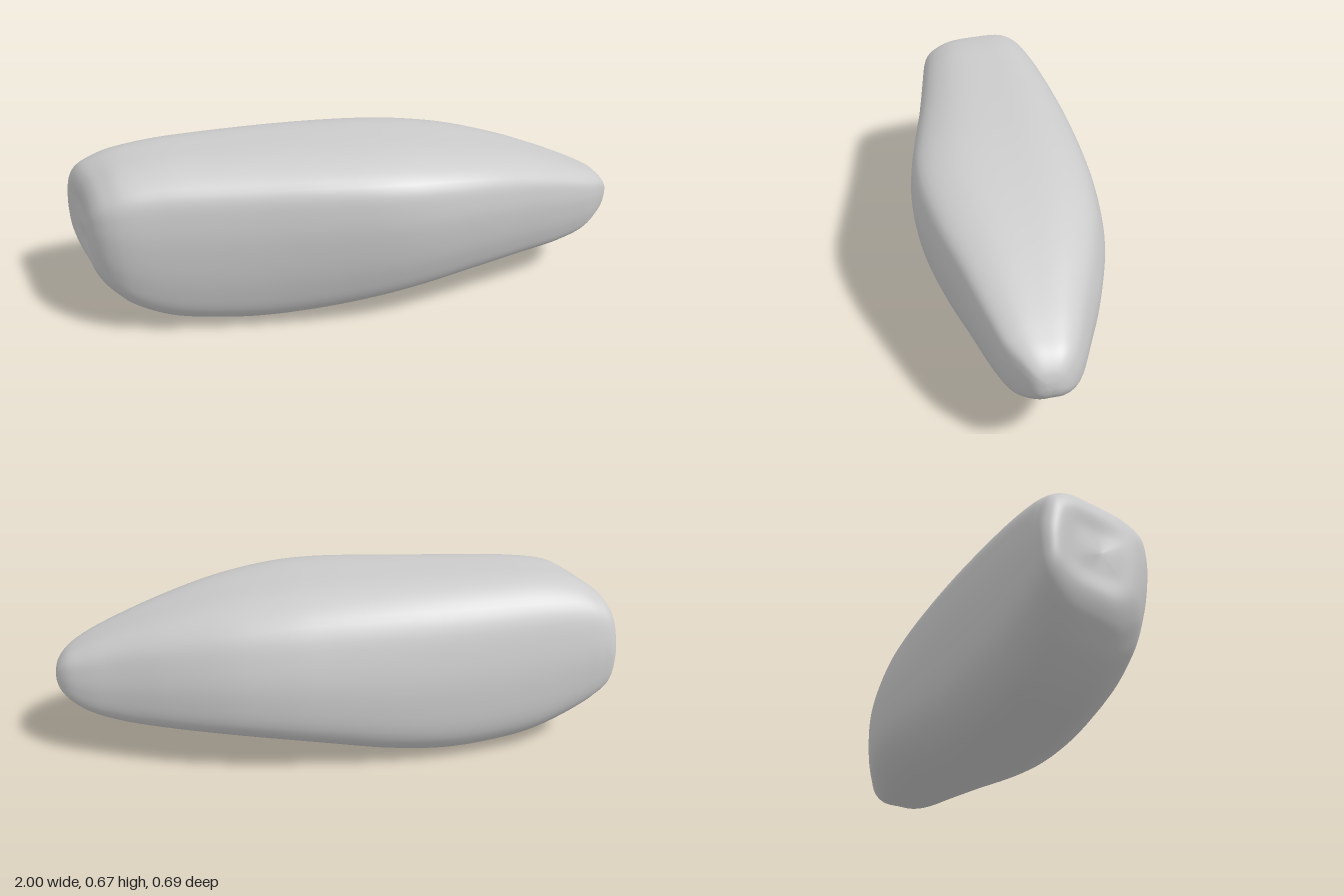
import * as THREE from 'three';
import { mergeVertices } from 'three/addons/utils/BufferGeometryUtils.js';

// Stations along the length: x, top y, bottom y, back z, front z, end slant
const STATIONS = [
  [-0.955, 0.39, 0.39, -0.08, -0.08, 0],
  [-0.962, 0.46, 0.32, -0.18, 0.0, 0.17],
  [-0.967, 0.53, 0.25, -0.26, 0.08, 0.2],
  [-0.942, 0.58, 0.195, -0.292, 0.125, 0.2],
  [-0.90, 0.61, 0.15, -0.304, 0.151, 0.17],
  [-0.84, 0.635, 0.103, -0.313, 0.167, 0.1],
  [-0.70, 0.656, 0.038, -0.328, 0.19, 0.02],
  [-0.50, 0.663, 0.006, -0.342, 0.226, 0],
  [-0.35, 0.665, 0.001, -0.347, 0.255, 0],
  [-0.15, 0.665, 0.021, -0.346, 0.298, 0],
  [0.05, 0.659, 0.057, -0.336, 0.334, 0],
  [0.20, 0.646, 0.084, -0.322, 0.339, 0],
  [0.40, 0.613, 0.115, -0.283, 0.312, 0],
  [0.60, 0.56, 0.137, -0.212, 0.262, 0],
  [0.78, 0.496, 0.159, -0.13, 0.214, 0],
  [0.89, 0.448, 0.192, -0.078, 0.178, 0],
  [0.955, 0.41, 0.235, -0.037, 0.135, 0],
  [0.988, 0.37, 0.272, 0.003, 0.102, 0],
  [0.998, 0.34, 0.3, 0.03, 0.075, 0],
  [1.0, 0.32, 0.32, 0.052, 0.052, 0],
];

// Rounded, leaning cross-section in unit coordinates (z, y)
const SECTION = [
  [1, 0.42], [0.92, 0.76], [0.59, 0.955], [0.05, 1], [-0.47, 0.955], [-0.79, 0.73],
  [-0.95, 0.3], [-1, -0.15], [-0.92, -0.66], [-0.6, -0.935], [-0.1, -0.99],
  [0.4, -0.985], [0.75, -0.77], [0.9, -0.42], [0.985, 0.02],
];

const AROUND = 72;
const ALONG = 136;

function stoneGeometry() {
  const loop = new THREE.CatmullRomCurve3(
    SECTION.map(([z, y]) => new THREE.Vector3(0, y, z)), true);
  const positions = [];
  const indices = [];

  // One lengthwise spline for each point of the section
  for (let j = 0; j < AROUND; j++) {
    const p = loop.getPoint(j / AROUND);
    const line = new THREE.CatmullRomCurve3(STATIONS.map(([x, top, bottom, back, front, slant]) => {
      const dz = p.z * (front - back) / 2;
      const hollow = 0.06 * (1 - p.z * p.z); // slight dip between the end's two corners
      return new THREE.Vector3(
        x + slant * (dz + hollow),
        (top + bottom) / 2 + p.y * (top - bottom) / 2,
        (front + back) / 2 + dz);
    }));
    for (let i = 0; i <= ALONG; i++) positions.push(...line.getPoint(i / ALONG).toArray());
  }

  const id = (i, j) => (j % AROUND) * (ALONG + 1) + i;
  for (let j = 0; j < AROUND; j++) {
    for (let i = 0; i < ALONG; i++) {
      const a = id(i, j), b = id(i, j + 1), c = id(i + 1, j), d = id(i + 1, j + 1);
      if (i > 0) indices.push(a, c, b);
      if (i < ALONG - 1) indices.push(b, c, d);
    }
  }

  // Weld the end points so the surface stays smooth
  let geometry = new THREE.BufferGeometry();
  geometry.setAttribute('position', new THREE.Float32BufferAttribute(positions, 3));
  geometry.setIndex(indices);
  geometry = mergeVertices(geometry, 1e-5);
  geometry.computeVertexNormals();
  return geometry;
}

export function createModel() {
  const group = new THREE.Group();
  group.name = 'smoothStone';
  const stone = new THREE.Mesh(stoneGeometry(), new THREE.MeshStandardMaterial({ color: 0xcccccc }));
  stone.name = 'stone';
  group.add(stone);
  return group;
}
